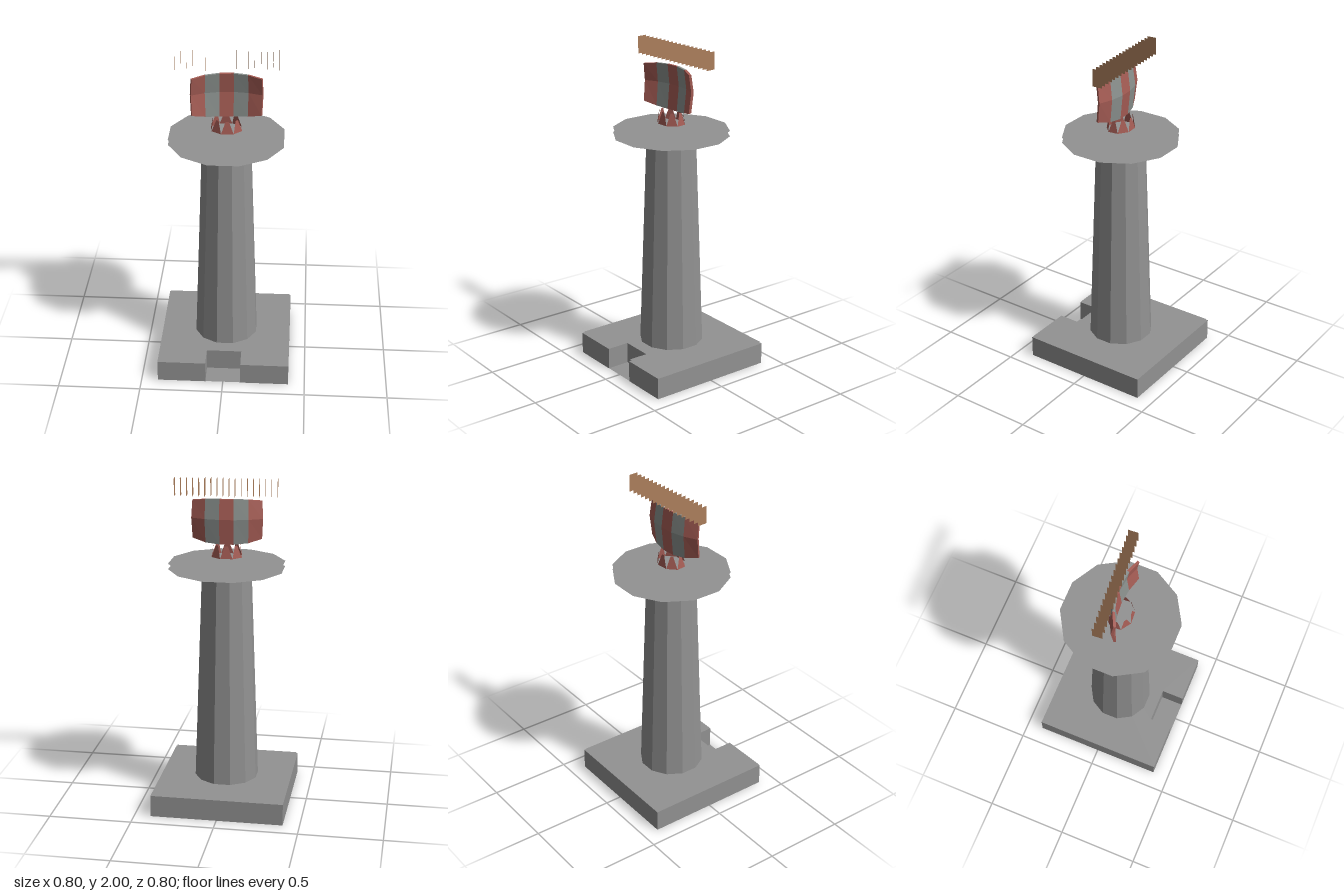
import * as THREE from 'three';

const mat = (name, color, side = THREE.DoubleSide) => {
  const m = new THREE.MeshStandardMaterial({ color, side, flatShading: true });
  m.name = name;
  return m;
};

// Flat-shaded geometry from a list of four-cornered faces
function quads(list) {
  const pos = [];
  for (const [a, b, c, d] of list) for (const p of [a, b, c, a, c, d]) pos.push(...p);
  const g = new THREE.BufferGeometry();
  g.setAttribute('position', new THREE.Float32BufferAttribute(pos, 3));
  g.computeVertexNormals();
  return g;
}

// Square outline with a rectangular notch in the front edge
function notchedSquare(h) {
  const n = 0.107, d = 0.26;
  return new THREE.Shape([[-h, -h], [-n, -h], [-n, -d], [n, -d], [n, -h], [h, -h], [h, h], [-h, h]]
    .map(([x, y]) => new THREE.Vector2(x, y)));
}

export function createModel() {
  const model = new THREE.Group();
  model.name = 'radarTower';
  const concrete = mat('concrete grey', 0x929292);
  const panelGrey = mat('panel grey', 0x8c928f);
  const red = mat('faded red', 0xa85e56);
  const tan = mat('antenna tan', 0xac7f5c);

  const add = (name, geo, m, parent = model) => {
    const mesh = new THREE.Mesh(geo, m);
    mesh.name = name;
    parent.add(mesh);
    return mesh;
  };

  // Base block with an entrance notch
  const base = new THREE.ExtrudeGeometry(notchedSquare(0.4), { depth: 0.133, bevelEnabled: false });
  add('base', base.rotateX(-Math.PI / 2), concrete);
  const floor = new THREE.PlaneGeometry(0.214, 0.14).rotateX(-Math.PI / 2);
  add('entranceFloor', floor, concrete).position.set(0, 0.002, 0.33);
  const deck = new THREE.ShapeGeometry(notchedSquare(0.392)).rotateX(-Math.PI / 2);
  add('baseDeck', deck, concrete).position.y = 0.143;

  // Tapered twelve-sided tower
  const tower = add('tower', new THREE.CylinderGeometry(0.148, 0.195, 1.317, 12, 1, true), concrete);
  tower.position.y = 0.143 + 1.317 / 2;
  tower.rotation.y = Math.PI / 12;

  // Platform: upper and lower sheets with an open rim
  for (const [name, y, turn] of [['platformTop', 1.493, -1], ['platformUnderside', 1.46, 1]]) {
    const sheet = new THREE.CircleGeometry(0.349, 12).rotateX(turn * Math.PI / 2).rotateY(Math.PI / 12);
    add(name, sheet, concrete).position.y = y;
  }

  // Ring of tapering support fins
  const rim = (i, s, y) => {
    const a = 0.3 + i * Math.PI / 4;
    return [0.097 * s * Math.cos(a), y, 0.079 * s * Math.sin(a)];
  };
  const fins = [];
  for (let i = 0; i < 8; i++) {
    fins.push([rim(i, 1, 1.53), rim(i + 0.35, 0.82, 1.605), rim(i + 0.65, 0.82, 1.605), rim(i + 1, 1, 1.53)]);
  }
  add('dishSupport', quads(fins), red);

  // Curved dish: columns hold x, z, slope, top and bottom heights
  const half = [[0.043, -0.037, 0.08, 1.875, 1.605], [0.13, -0.02, 0.26, 1.871, 1.612], [0.212, 0.014, 0.4, 1.86, 1.632]];
  const columns = [...half.map(([x, z, a, t, b]) => [-x, z, -a, t, b]).reverse(), ...half];
  const ring = ([x, z, a, top, bottom]) =>
    [[bottom, 0.015], [1.755, 0], [top, 0.015], [top, 0.03], [1.755, 0.015], [bottom, 0.03]]
      .map(([y, d]) => [x - Math.sin(a) * d, y, z + Math.cos(a) * d]);
  const dish = new THREE.Group();
  dish.name = 'dish';
  dish.rotation.y = 0.068;
  model.add(dish);
  for (let i = 0; i < 5; i++) {
    const A = ring(columns[i]), B = ring(columns[i + 1]);
    const faces = A.map((p, k) => [p, A[(k + 1) % 6], B[(k + 1) % 6], B[k]]);
    if (i === 0) faces.push([A[0], A[5], A[4], A[1]], [A[1], A[4], A[3], A[2]]);
    if (i === 4) faces.push([B[0], B[1], B[4], B[5]], [B[1], B[2], B[3], B[4]]);
    add('dishStripe' + (i + 1), quads(faces), i % 2 ? panelGrey : red, dish);
  }

  // Row of thin antenna vanes
  const vanes = new THREE.Group();
  vanes.name = 'antennaVanes';
  vanes.position.set(0, 1.9475, -0.03);
  vanes.rotation.y = 0.067;
  model.add(vanes);
  const vane = new THREE.PlaneGeometry(0.06, 0.105).rotateY(Math.PI / 2);
  for (let i = 0; i < 18; i++) {
    add('vane' + (i + 1), vane, tan, vanes).position.x = -0.301 + i * 0.602 / 17;
  }
  return model;
}
